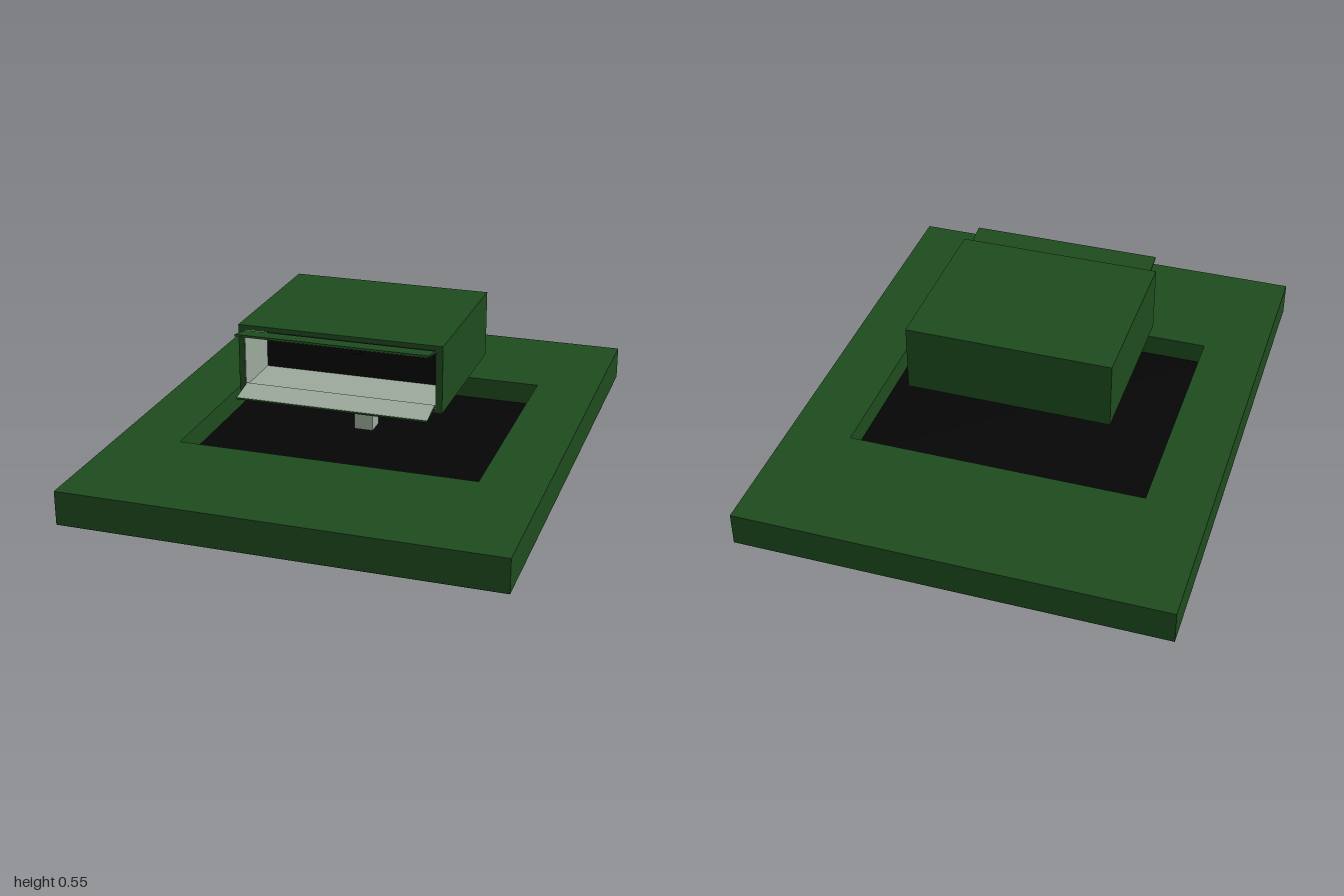
import * as THREE from 'three';

const mat = (name, color) => {
  const m = new THREE.MeshStandardMaterial({ color });
  m.name = name;
  return m;
};

export function createModel() {
  const green = mat('dark green', 0x1e4b1e);
  const grey = mat('pale grey', 0x9ca99c);
  const black = mat('black', 0x050505);
  const root = new THREE.Group();
  root.name = 'turret';

  const add = (name, geometry, material, x, y, z, parent = root) => {
    const mesh = new THREE.Mesh(geometry, material);
    mesh.name = name;
    mesh.position.set(x, y, z);
    parent.add(mesh);
    return mesh;
  };
  const box = (w, h, d) => new THREE.BoxGeometry(w, h, d);

  // Rectangular frame with a rectangular opening, extruded along z
  const rect = (Type, w, h) => {
    const p = new Type();
    p.moveTo(-w / 2, -h / 2).lineTo(w / 2, -h / 2).lineTo(w / 2, h / 2).lineTo(-w / 2, h / 2).closePath();
    return p;
  };
  const frame = (w, h, iw, ih, depth) => {
    const shape = rect(THREE.Shape, w, h);
    shape.holes.push(rect(THREE.Path, iw, ih));
    return new THREE.ExtrudeGeometry(shape, { depth, bevelEnabled: false });
  };

  // Base slab with a sunken black floor and black underside
  add('baseFrame', frame(1.6, 2, 1.127, 0.956, 0.126).rotateX(-Math.PI / 2), green, 0, 0.001, 0);
  add('baseUnderside', box(1.6, 0.001, 2), black, 0, 0.0005, 0);
  add('recessFloor', box(1.127, 0.042, 0.956), black, 0, 0.022, 0);

  // Square lifting post
  add('post', box(0.073, 0.23, 0.073), grey, 0, 0.185, 0);

  // Head: open-fronted shell, grey lining, black inner panel
  const head = new THREE.Group();
  head.name = 'head';
  head.position.y = 0.422;
  root.add(head);
  add('shell', frame(0.77, 0.254, 0.724, 0.222, 0.64), green, 0, 0, -0.32, head);
  add('backWall', box(0.724, 0.222, 0.02), green, 0, 0, -0.31, head);
  add('innerPanel', box(0.724, 0.222, 0.02), black, 0, 0, 0.09, head);
  add('muzzle', box(0.036, 0.036, 0.03), black, 0, 0.005, 0.115, head);
  for (const s of [-1, 1]) {
    add('sideLining', box(0.002, 0.222, 0.218), grey, s * 0.361, 0, 0.21, head);
    add('flatLining', box(0.72, 0.002, 0.218), grey, 0, s * 0.11, 0.21, head);

    // Hinged flap, green outside with a thin grey inner face
    const flap = new THREE.Group();
    flap.name = s > 0 ? 'upperFlap' : 'lowerFlap';
    flap.position.set(0, s * 0.101, 0.315);
    flap.rotation.x = -s * 0.185;
    head.add(flap);
    add('flapOuter', box(0.718, 0.007, 0.106), green, 0, s * 0.001, 0.053, flap);
    add('flapInner', box(0.714, 0.001, 0.104), grey, 0, -s * 0.003, 0.053, flap);
  }
  return root;
}
